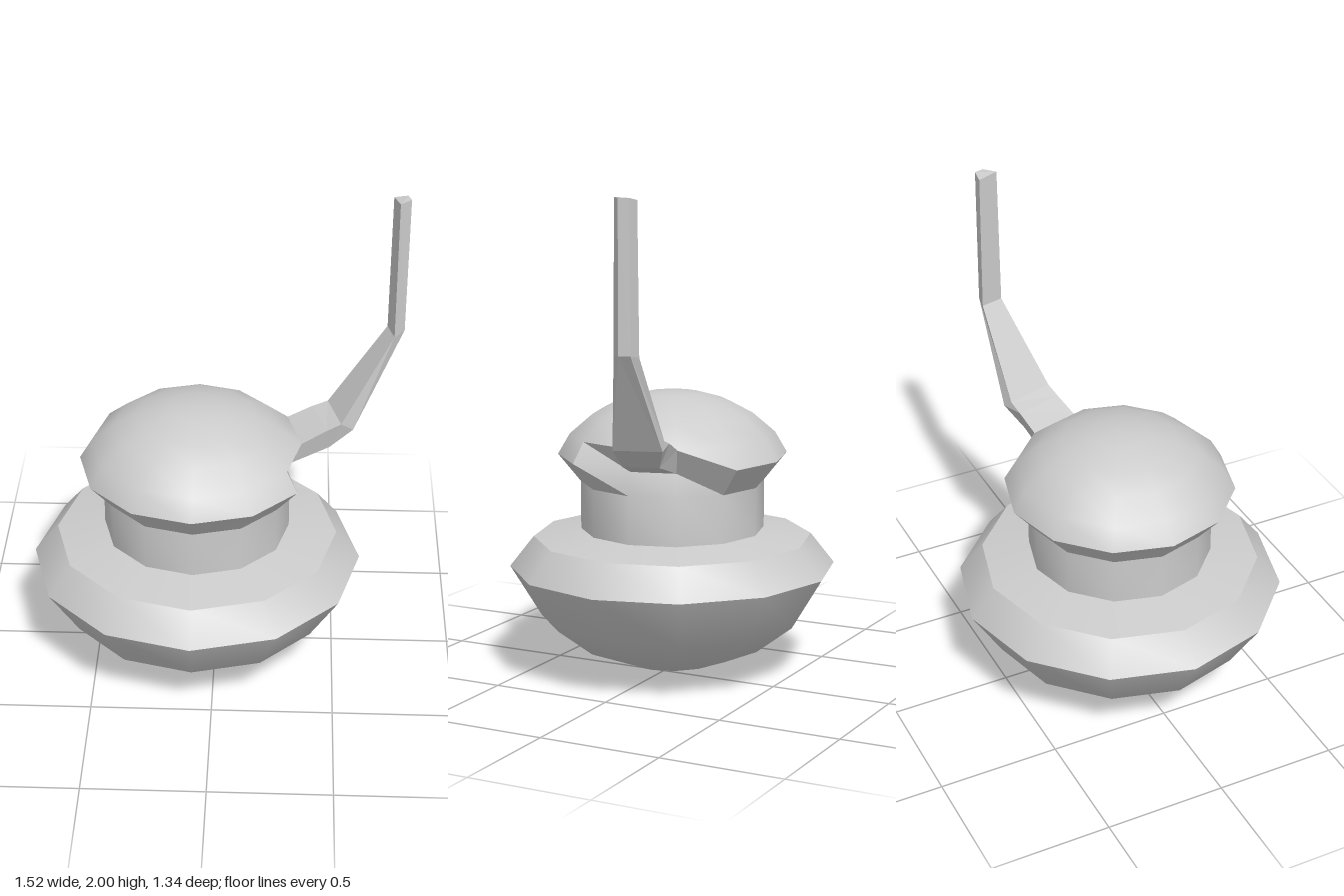
import * as THREE from 'three';
import { toCreasedNormals } from 'three/addons/utils/BufferGeometryUtils.js';

const SIDES = 12;
const AXIS_X = -0.08;
const Z_SCALE = 0.98;

// Twelve-sided turned body from [radius, height] pairs, optionally reshaped
function turned(name, profile, material, reshape) {
  const lathe = new THREE.LatheGeometry(profile.map(([r, y]) => new THREE.Vector2(r, y)), SIDES);
  if (reshape) reshape(lathe.attributes.position);
  lathe.scale(1, 1, Z_SCALE);
  lathe.translate(AXIS_X, 0, 0);
  const mesh = new THREE.Mesh(toCreasedNormals(lathe, 0.6), material);
  mesh.name = name;
  return mesh;
}

// Skin over four-cornered sections, closed at the far end
function loft(sections) {
  const index = [];
  for (let s = 0; s < sections.length - 1; s++) {
    for (let k = 0; k < 4; k++) {
      const a = s * 4 + k, b = s * 4 + (k + 1) % 4;
      index.push(a, b + 4, b, a, a + 4, b + 4);
    }
  }
  const e = (sections.length - 1) * 4;
  index.push(e, e + 2, e + 1, e, e + 3, e + 2);
  const geometry = new THREE.BufferGeometry();
  geometry.setAttribute('position', new THREE.Float32BufferAttribute(sections.flat(2), 3));
  geometry.setIndex(index);
  const flat = geometry.toNonIndexed();
  flat.computeVertexNormals();
  return flat;
}

export function createModel() {
  const group = new THREE.Group();
  const grey = new THREE.MeshStandardMaterial({ color: 0xcccccc });
  const greyFlat = new THREE.MeshStandardMaterial({ color: 0xcccccc, flatShading: true });

  // Bowl-shaped base with a bevelled shoulder
  group.add(turned('base', [
    [0, 0], [0.2, 0.035], [0.395, 0.11], [0.555, 0.23], [0.685, 0.44],
    [0.585, 0.565], [0.385, 0.597], [0.3, 0.61],
  ], grey));

  // Neck flaring into the domed head; two rim corners are tucked in under the arm
  const headProfile = [
    [0.385, 0.58], [0.385, 0.795], [0.48, 0.91], [0.43, 0.995],
    [0.335, 1.075], [0.24, 1.125], [0.12, 1.16], [0, 1.17],
  ];
  const RIM = 2;
  group.add(turned('neckAndHead', headProfile, grey, (position) => {
    for (const side of [3, 4]) {
      const angle = side / SIDES * Math.PI * 2;
      position.setXYZ(side * headProfile.length + RIM,
        0.365 * Math.sin(angle), 0.89, 0.365 * Math.cos(angle));
    }
  }));

  // Bent arm: each section runs inner front, inner back, outer back, outer front
  const arm = new THREE.Mesh(loft([
    [[0.35, 0.995, 0], [0.29, 0.995, -0.21], [0.235, 0.89, -0.18], [0.285, 0.89, 0]],
    [[0.45, 1.04, -0.03], [0.395, 1.04, -0.23], [0.42, 0.945, -0.2], [0.465, 0.945, -0.06]],
    [[0.51, 1.065, -0.045], [0.457, 1.06, -0.24], [0.5, 1.025, -0.255], [0.56, 1.025, -0.07]],
    [[0.715, 1.41, -0.162], [0.69, 1.41, -0.257], [0.745, 1.42, -0.25], [0.757, 1.42, -0.205]],
    [[0.712, 2, -0.165], [0.69, 1.99, -0.25], [0.745, 2, -0.245], [0.757, 2, -0.205]],
  ]), greyFlat);
  arm.name = 'arm';
  group.add(arm);

  return group;
}
